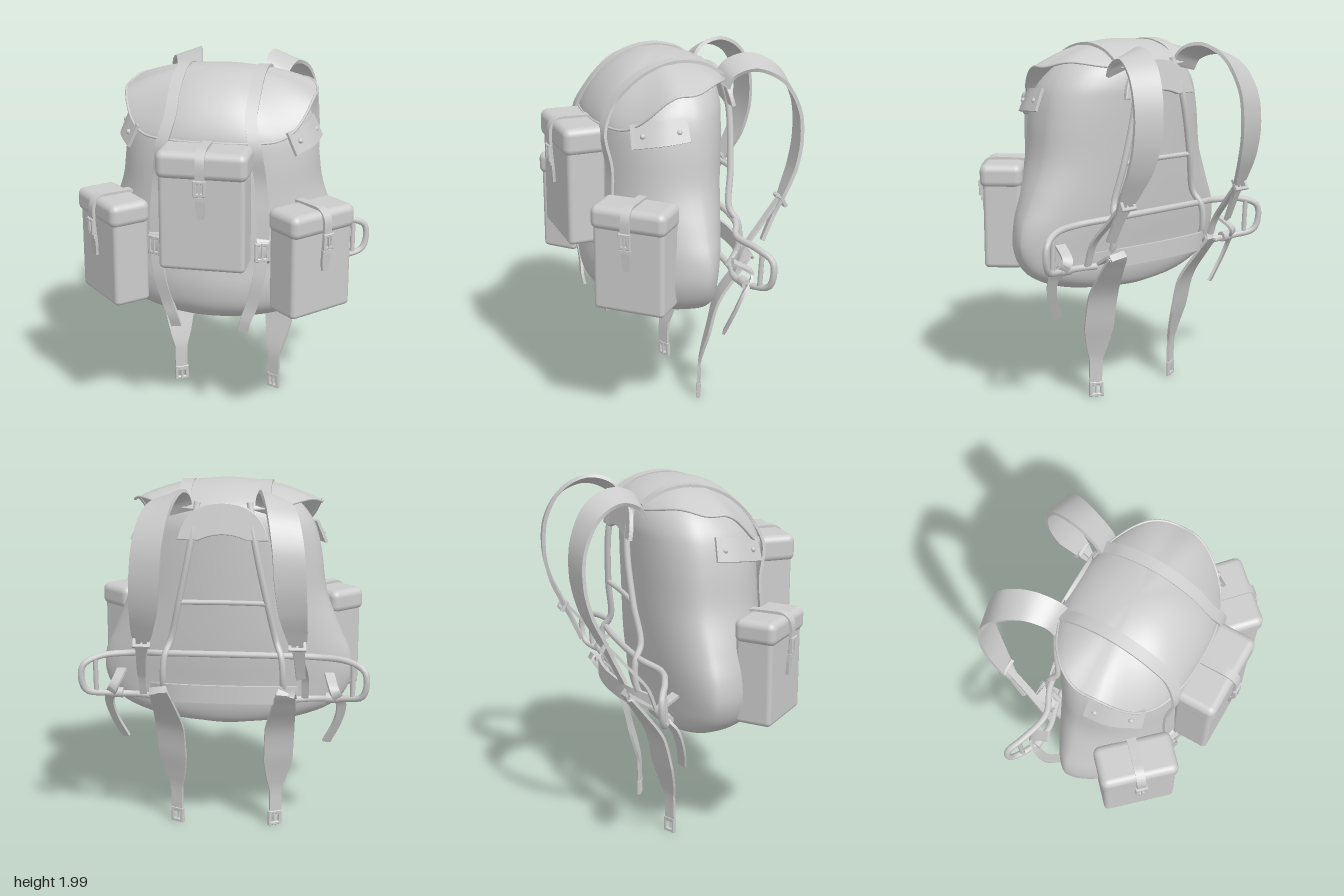
import * as THREE from 'three';
import { toCreasedNormals } from 'three/addons/utils/BufferGeometryUtils.js';
import { RoundedBoxGeometry } from 'three/addons/geometries/RoundedBoxGeometry.js';

const cloth = new THREE.MeshStandardMaterial({ color: 0xcccccc });
const thin = new THREE.MeshStandardMaterial({ color: 0xcccccc, side: THREE.DoubleSide });
const V = (x, y, z) => new THREE.Vector3(x, y, z);
const SIDES = [1, -1];

function add(parent, name, geometry, material = cloth) {
  const mesh = new THREE.Mesh(geometry, material);
  mesh.name = name;
  parent.add(mesh);
  return mesh;
}

// Skin over closed rings of points, optionally capped at both ends
function loft(rings, capped = true) {
  const n = rings[0].length, pos = [], idx = [];
  for (const ring of rings) for (const p of ring) pos.push(p.x, p.y, p.z);
  for (let i = 0; i < rings.length - 1; i++) for (let j = 0; j < n; j++) {
    const a = i * n + j, b = i * n + (j + 1) % n;
    idx.push(a, b, a + n, b, b + n, a + n);
  }
  if (capped) [0, rings.length - 1].forEach((r, end) => {
    const c = V(0, 0, 0), k = pos.length / 3;
    rings[r].forEach(p => c.addScaledVector(p, 1 / n));
    pos.push(c.x, c.y, c.z);
    for (let j = 0; j < n; j++) {
      const a = r * n + j, b = r * n + (j + 1) % n;
      idx.push(k, ...(end ? [a, b] : [b, a]));
    }
  });
  const g = new THREE.BufferGeometry();
  g.setAttribute('position', new THREE.Float32BufferAttribute(pos, 3));
  g.setIndex(idx);
  g.computeVertexNormals();
  return g;
}

// Flat webbing along points [x, y, z, width]; its width direction turns from d0 to d1
function ribbon(pts, d0 = V(1, 0, 0), d1 = d0, thick = 0.016) {
  const curve = new THREE.CatmullRomCurve3(pts.map(p => V(p[0], p[1], p[2])));
  const steps = (pts.length - 1) * 6, rings = [];
  for (let i = 0; i <= steps; i++) {
    const t = i / steps, f = t * (pts.length - 1), k = Math.min(Math.floor(f), pts.length - 2);
    const w = THREE.MathUtils.lerp(pts[k][3], pts[k + 1][3], f - k) / 2;
    const T = curve.getTangent(t), W = d0.clone().lerp(d1, t);
    W.addScaledVector(T, -W.dot(T)).normalize();
    const N = T.clone().cross(W), c = curve.getPoint(t);
    rings.push([[1, 1], [-1, 1], [-1, -1], [1, -1]].map(([u, v]) =>
      c.clone().addScaledVector(W, u * w).addScaledVector(N, v * thick / 2)));
  }
  return toCreasedNormals(loft(rings), 0.8);
}

function tube(pts, r = 0.018, closed = false) {
  const curve = new THREE.CatmullRomCurve3(pts.map(p => V(...p)), closed);
  return new THREE.TubeGeometry(curve, pts.length * 8, r, 10, closed);
}

// Rectangular metal buckle with an open middle and a prong
function buckle(w, h) {
  const rect = (S, a, b) => new S([V(-a, -b, 0), V(a, -b, 0), V(a, b, 0), V(-a, b, 0)]);
  const shape = rect(THREE.Shape, w / 2, h / 2);
  shape.holes.push(rect(THREE.Path, w / 2 - 0.012, h / 2 - 0.012));
  const group = new THREE.Group();
  group.name = 'buckle';
  add(group, 'buckleFrame', new THREE.ExtrudeGeometry(shape, { depth: 0.016, bevelSize: 0.003, bevelThickness: 0.003, bevelSegments: 1 }));
  add(group, 'bucklePin', new THREE.BoxGeometry(0.01, h, 0.012)).position.z = 0.016;
  return group;
}

// Main sack sections: y, half width, front z, back z, squareness of front and back
const ROWS = [
  [0.62, 0.20, 0.20, -0.13, 2, 2], [0.65, 0.44, 0.35, -0.17, 2, 2], [0.73, 0.62, 0.44, -0.20, 1.85, 1.9],
  [0.86, 0.70, 0.47, -0.215, 1.75, 1.75], [1.0, 0.70, 0.46, -0.235, 1.75, 1.75], [1.15, 0.64, 0.45, -0.25, 1.95, 1.85],
  [1.35, 0.56, 0.43, -0.265, 2.3, 1.95], [1.55, 0.53, 0.41, -0.275, 2.5, 2], [1.68, 0.505, 0.39, -0.28, 2.5, 2],
  [1.77, 0.47, 0.34, -0.28, 2.4, 2], [1.86, 0.40, 0.24, -0.255, 2.2, 2], [1.92, 0.30, 0.12, -0.2, 2, 2],
  [1.945, 0.1, 0.02, -0.08, 2, 2]];

function sack() {
  const spline = (i, j, k) => new THREE.CatmullRomCurve3(ROWS.map(r => V(r[i], r[j], r[k])), false, 'catmullrom');
  const A = spline(0, 1, 4), B = spline(2, 3, 5), rings = [];
  for (let i = 0; i <= 60; i++) {
    const a = A.getPoint(i / 60), b = B.getPoint(i / 60), ring = [];
    for (let j = 0; j < 72; j++) {
      const s = Math.sin(j * Math.PI / 36), c = Math.cos(j * Math.PI / 36), e = 2 / (c > 0 ? a.z : b.z);
      ring.push(V(a.y * Math.sign(s) * Math.abs(s) ** e, a.x, Math.abs(c) ** e * (c > 0 ? b.x : b.y)));
    }
    rings.push(ring);
  }
  return loft(rings);
}

// Front surface of the sack at x, y
function frontZ(x, y) {
  const k = Math.max(0, Math.min(ROWS.length - 2, ROWS.findIndex(r => r[0] > y) - 1));
  const t = (y - ROWS[k][0]) / (ROWS[k + 1][0] - ROWS[k][0]);
  const [, w, f, , n] = ROWS[k].map((v, i) => THREE.MathUtils.lerp(v, ROWS[k + 1][i], t));
  return f * Math.max(0, 1 - Math.abs(x / w) ** n) ** (1 / n);
}

// Lid: domed cover, low in front, flared at the sides and lifted behind them
const LID = { w: 0.52, cz: 0.03, front: 0.4, back: 0.33 };
const lidN = z => z > LID.cz ? 2.4 : 2;
function lidY(x, z) {
  const n = lidN(z), dz = (z - LID.cz) / (z > LID.cz ? LID.front : LID.back);
  const r = Math.min(1, (Math.abs(x / LID.w) ** n + Math.abs(dz) ** n) ** (1 / n));
  const s = r > 0 ? dz / r : 0;
  const lift = 0.035 * Math.sin(Math.PI * THREE.MathUtils.clamp(-s, 0, 1)) ** 2;
  const edge = 1.865 + lift - 0.2 * THREE.MathUtils.smoothstep(s, 0.15, 0.88);
  return edge + (1.99 - edge) * (1 - r ** 2.2) ** (1 - 0.3 * s * s);
}
function lidPoint(a, r) {
  const c = Math.cos(a), s = Math.sin(a), e = 2 / lidN(LID.cz + c);
  const x = LID.w * r * Math.sign(s) * Math.abs(s) ** e;
  const z = LID.cz + r * Math.sign(c) * Math.abs(c) ** e * (c > 0 ? LID.front : LID.back);
  return V(x, lidY(x, z), z);
}

// Box pocket with overlapping cover, strap and buckle; origin at bottom centre
function pocket(name, w, h, d, cover) {
  const g = new THREE.Group();
  g.name = name;
  add(g, 'pocketBody', new RoundedBoxGeometry(w - 0.02, h - 0.04, d, 3, 0.025)).position.y = (h - 0.04) / 2;
  add(g, 'pocketCover', new RoundedBoxGeometry(w + 0.005, cover, d + 0.025, 4, 0.04)).position.set(0, h - cover / 2, 0.005);
  const z = d / 2 + 0.024;
  add(g, 'pocketStrap', ribbon([[0, h + 0.002, -d / 2, 0.05], [0, h + 0.006, 0, 0.05], [0, h + 0.002, z - 0.04, 0.05],
    [0, h - 0.035, z, 0.05], [0, h - cover, z + 0.005, 0.05], [0, h - cover - 0.13, z - 0.005, 0.05], [0, h - cover - 0.2, z - 0.01, 0.035]]));
  const b = buckle(0.06, 0.08);
  b.position.set(0, h - cover - 0.03, z + 0.005);
  g.add(b);
  add(g, 'strapLoop', new THREE.BoxGeometry(0.058, 0.02, 0.02)).position.set(0, h - cover - 0.09, z + 0.003);
  return g;
}

export function createModel() {
  const model = new THREE.Group();
  model.name = 'backpack';
  add(model, 'mainSack', sack());

  // Lid and its bound edge
  const lidRings = [];
  for (let i = 24; i >= 0; i--) lidRings.push(Array.from({ length: 72 }, (_, j) =>
    lidPoint(j * Math.PI / 36, Math.sin((0.001 + 0.999 * i / 24) * Math.PI / 2))));
  add(model, 'lid', loft(lidRings, false), thin);
  add(model, 'lidEdge', tube(Array.from({ length: 48 }, (_, j) => lidPoint(j * Math.PI / 24, 1).toArray()), 0.007, true));

  // Pockets
  const front = pocket('frontPocket', 0.48, 0.65, 0.21, 0.15);
  front.position.set(0, 1.015, 0.51);
  model.add(front);
  for (const s of SIDES) {
    const p = pocket('sidePocket', 0.42, 0.58, 0.21, 0.13);
    p.position.set(s * 0.54, 0.75, 0.35);
    p.rotation.y = s * 0.82;
    model.add(p);
  }

  for (const s of SIDES) {
    // Closing straps over the lid and down the front
    const over = [-0.26, -0.15, 0, 0.15, 0.27, 0.36].map(z => [s * 0.215, lidY(0.215, z) + 0.005, z, 0.065]);
    const down = [[0.25, 1.64], [0.275, 1.45], [0.29, 1.25], [0.29, 1.08], [0.27, 0.9], [0.23, 0.74]]
      .map(([x, y]) => [s * x, y, Math.max(frontZ(x, y) + 0.014, y > 1.6 ? 0.425 : 0), 0.065]);
    add(model, 'closingStrap', ribbon([...over, ...down, [s * 0.2, 0.66, 0.42, 0.06], [s * 0.185, 0.6, 0.41, 0.06]], V(1, 0, -0.15 * s)));
    const b = buckle(0.075, 0.1);
    b.position.set(s * 0.29, 1.08, frontZ(0.29, 1.08) + 0.03);
    b.rotation.y = s * 0.4;
    model.add(b);
    add(model, 'strapKeeper', ribbon([[s * 0.29, 1.15, 0.39, 0.07], [s * 0.295, 1.13, 0.425, 0.07], [s * 0.295, 1.04, 0.425, 0.07], [s * 0.29, 1.0, 0.39, 0.07]], V(1, 0, -0.4 * s)));

    // Riveted side tabs below the lid
    add(model, 'sideTab', ribbon([[s * 0.525, 1.69, 0.05, 0.13], [s * 0.505, 1.675, 0.18, 0.13], [s * 0.425, 1.65, 0.33, 0.13]], V(s * 0.4, -1, 0.15)), thin);
    for (const [x, y, z] of [[0.525, 1.68, 0.1], [0.465, 1.66, 0.28]])
      add(model, 'rivet', new THREE.SphereGeometry(0.015, 12, 8)).position.set(s * x, y, z);

    // Shoulder straps, inner edge higher over the top, with narrow adjusters
    add(model, 'shoulderStrap', ribbon([[s * 0.24, 1.84, -0.25, 0.15], [s * 0.25, 1.915, -0.3, 0.15], [s * 0.28, 1.95, -0.42, 0.155],
      [s * 0.325, 1.885, -0.555, 0.165], [s * 0.36, 1.73, -0.64, 0.165], [s * 0.375, 1.55, -0.655, 0.165], [s * 0.39, 1.38, -0.62, 0.15],
      [s * 0.41, 1.24, -0.555, 0.11], [s * 0.42, 1.13, -0.5, 0.06], [s * 0.43, 0.98, -0.43, 0.05]], V(1, -0.5 * s, 0), V(1, 0, 0.35 * s), 0.02));
    add(model, 'adjusterStrap', ribbon([[s * 0.415, 1.22, -0.54, 0.04], [s * 0.43, 1.08, -0.42, 0.04], [s * 0.45, 0.95, -0.31, 0.04], [s * 0.45, 0.82, -0.26, 0.04]]));
    const ab = buckle(0.09, 0.06);
    ab.position.set(s * 0.412, 1.2, -0.55);
    ab.rotation.x = 0.5;
    model.add(ab);

    // Hanging lower straps, faced outwards, and their end clips
    add(model, 'lowerStrap', ribbon([[s * 0.36, 0.82, -0.28, 0.09], [s * 0.35, 0.88, -0.39, 0.1], [s * 0.335, 0.79, -0.33, 0.13], [s * 0.31, 0.62, -0.22, 0.17],
      [s * 0.3, 0.42, -0.17, 0.17], [s * 0.29, 0.3, -0.14, 0.12], [s * 0.285, 0.22, -0.125, 0.075], [s * 0.285, 0.06, -0.12, 0.07]], V(1, 0, 0.2 * s), V(1, 0, 0.5 * s)));
    const clip = buckle(0.075, 0.08);
    clip.position.set(s * 0.285, 0.043, -0.13);
    clip.rotation.y = -s * 0.46;
    model.add(clip);

    // Frame posts, side-loop rungs and loose webbing tails
    add(model, 'framePost', tube([[s * 0.14, 1.9, -0.27], [s * 0.17, 1.7, -0.325], [s * 0.24, 1.36, -0.315], [s * 0.29, 1.14, -0.29],
      [s * 0.32, 1.06, -0.33], [s * 0.33, 0.92, -0.33], [s * 0.33, 0.81, -0.27]]));
    add(model, 'loopRung', tube([[s * 0.71, 1.03, -0.3], [s * 0.71, 0.84, -0.29]], 0.014));
    add(model, 'webbingTail', ribbon([[s * 0.58, 0.94, -0.19, 0.055], [s * 0.61, 0.87, -0.29, 0.055], [s * 0.65, 0.77, -0.22, 0.055],
      [s * 0.63, 0.66, -0.18, 0.05], [s * 0.57, 0.53, -0.15, 0.05]], V(1, 0, 0.5 * s)));
    const wrap = add(model, 'webbingWrap', new THREE.CylinderGeometry(0.03, 0.03, 0.07, 12));
    wrap.position.set(s * 0.6, 0.82, -0.25);
    wrap.rotation.z = Math.PI / 2;
  }

  // Waist frame loop, cross bar, back yoke and lumbar band
  const half = [[0.33, 1.07, -0.31], [0.5, 1.05, -0.245], [0.68, 1.04, -0.285], [0.77, 1.0, -0.33], [0.785, 0.93, -0.335],
    [0.76, 0.85, -0.32], [0.65, 0.82, -0.265], [0.5, 0.81, -0.24], [0.33, 0.81, -0.28]];
  add(model, 'waistFrame', tube([...half, ...half.map(([x, y, z]) => [-x, y, z]).reverse()], 0.018, true));
  add(model, 'frameCrossBar', tube([[-0.24, 1.36, -0.315], [0, 1.36, -0.305], [0.24, 1.36, -0.315]], 0.014));
  const yoke = new THREE.Shape();
  yoke.moveTo(-0.24, 0);
  yoke.quadraticCurveTo(-0.2, 0.19, 0, 0.19).quadraticCurveTo(0.2, 0.19, 0.24, 0);
  yoke.lineTo(0.13, 0).quadraticCurveTo(0, 0.06, -0.13, 0);
  const yokeMesh = add(model, 'backYoke', new THREE.ExtrudeGeometry(yoke, { depth: 0.015, bevelSize: 0.005, bevelThickness: 0.005, bevelSegments: 2, curveSegments: 16 }));
  yokeMesh.position.set(0, 1.71, -0.335);
  yokeMesh.rotation.x = 0.2;
  add(model, 'lumbarBand', ribbon([[-0.4, 0.84, -0.27, 0.09], [-0.28, 0.86, -0.36, 0.1], [0, 0.87, -0.405, 0.1], [0.28, 0.86, -0.36, 0.1], [0.4, 0.84, -0.27, 0.09]], V(0, 1, 0)));
  return model;
}
